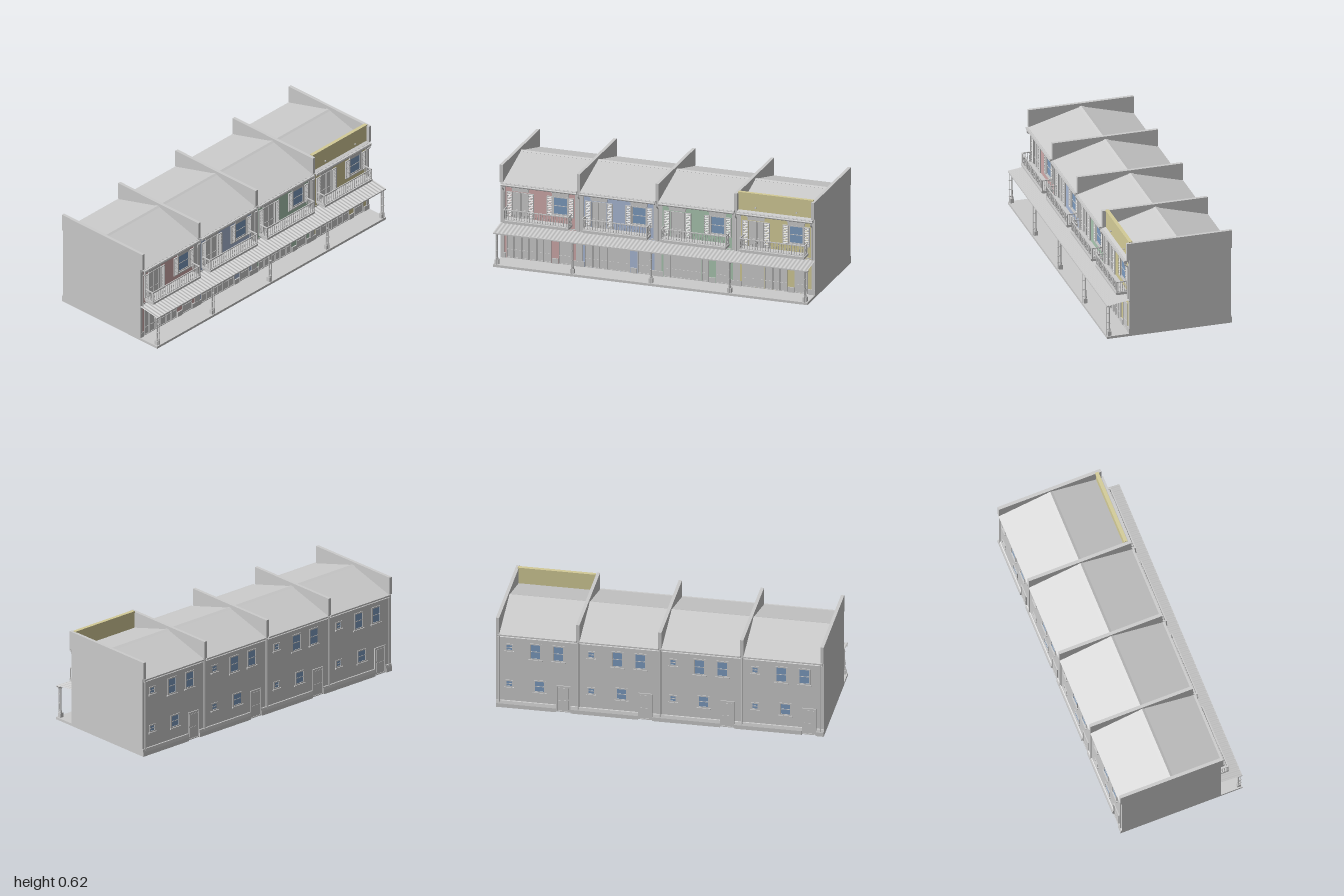
import * as THREE from 'three';
import { mergeGeometries } from 'three/addons/utils/BufferGeometryUtils.js';

const GREY = 0xcccccc, GLASS = 0x7d9cc0;
const mats = {};
const mat = (color) => (mats[color] ??= new THREE.MeshStandardMaterial({ color, side: THREE.DoubleSide }));

// Box given by its limits on each axis
const box = (x0, x1, y0, y1, z0, z1) =>
  new THREE.BoxGeometry(x1 - x0, y1 - y0, z1 - z0).translate((x0 + x1) / 2, (y0 + y1) / 2, (z0 + z1) / 2);
const pole = (r, x, y0, y1, z) =>
  new THREE.CylinderGeometry(r, r, y1 - y0, 10).translate(x, (y0 + y1) / 2, z);
const lathe = (pts, segs, x, y, z) =>
  new THREE.LatheGeometry(pts.map(([r, h]) => new THREE.Vector2(r, h)), segs).translate(x, y, z);
const pipe = (pts, r) => new THREE.TubeGeometry(
  new THREE.CatmullRomCurve3(pts.map((p) => new THREE.Vector3(...p))), 14, r, 8);
// Solid of constant (z, y) section running from x0 to x1
const prism = (pts, x0, x1) => new THREE.ExtrudeGeometry(
  new THREE.Shape(pts.map((p) => new THREE.Vector2(...p))), { depth: x1 - x0, bevelEnabled: false })
  .rotateY(-Math.PI / 2).translate(x1, 0, 0);

function add(parent, name, geos, color = GREY) {
  const list = [].concat(geos).map((g) => (g.index ? g.toNonIndexed() : g));
  const mesh = new THREE.Mesh(mergeGeometries(list), mat(color));
  mesh.name = name;
  parent.add(mesh);
  return mesh;
}

// Four-sided frame around an opening, lying between z0 and z1
const frame = (x0, x1, y0, y1, t, z0, z1) => [
  box(x0, x0 + t, y0, y1, z0, z1), box(x1 - t, x1, y0, y1, z0, z1),
  box(x0 + t, x1 - t, y1 - t, y1, z0, z1), box(x0 + t, x1 - t, y0, y0 + t, z0, z1)];

// Sash window: glass, frame, middle bar and sill; s is the facing (+1 front, -1 back)
function sash(parent, name, cx, cy, w, h, z, s) {
  const zs = (a, b) => [Math.min(z + s * a, z + s * b), Math.max(z + s * a, z + s * b)];
  const x0 = cx - w / 2, x1 = cx + w / 2, y0 = cy - h / 2, y1 = cy + h / 2;
  add(parent, name + 'Glass', box(x0, x1, y0, y1, ...zs(-0.002, 0.001)), GLASS);
  add(parent, name + 'Frame', [
    ...frame(x0 - 0.004, x1 + 0.004, y0 - 0.004, y1 + 0.004, 0.008, ...zs(-0.002, 0.004)),
    box(x0, x1, cy - 0.002, cy + 0.002, ...zs(0, 0.003)),
    box(x0 - 0.01, x1 + 0.01, y0 - 0.012, y0 - 0.004, ...zs(0, 0.009))]);
}

// Louvred shutter
function shutter(x0, x1, y0, y1, z) {
  const geos = frame(x0, x1, y0, y1, 0.005, z, z + 0.008);
  const n = Math.round((y1 - y0) / 0.011);
  for (let i = 1; i < n; i++) {
    geos.push(new THREE.BoxGeometry(x1 - x0 - 0.008, 0.0025, 0.009).rotateX(0.6)
      .translate((x0 + x1) / 2, y0 + ((y1 - y0) * i) / n, z + 0.004));
  }
  return geos;
}

// Panelled door leaf
const leaf = (x0, x1, y0, y1, z) => [
  box(x0, x1, y0, y1, z - 0.002, z + 0.001),
  ...frame(x0, x1, y0, y1, 0.005, z, z + 0.005),
  box(x0, x1, y0 + 0.05, y0 + 0.055, z, z + 0.004)];

const BALUSTER = [[0.0015, 0], [0.003, 0.006], [0.0015, 0.014], [0.0032, 0.03], [0.0015, 0.048], [0.0025, 0.06]];

function balcony(parent, x0, x1) {
  add(parent, 'balconySlab', [
    box(x0, x1, 0.263, 0.276, 0.25, 0.324), box(x0 + 0.005, x1 - 0.005, 0.257, 0.263, 0.25, 0.318)]);
  const z1 = 0.32, rails = [];
  for (const [y, t] of [[0.28, 0.003], [0.341, 0.005]]) {
    rails.push(box(x0, x1, y, y + t, z1 - 0.006, z1),
      box(x0, x0 + 0.006, y, y + t, 0.255, z1), box(x1 - 0.006, x1, y, y + t, 0.255, z1));
  }
  for (const x of [x0 + 0.003, x1 - 0.003]) rails.push(box(x - 0.003, x + 0.003, 0.275, 0.346, z1 - 0.006, z1));
  add(parent, 'balconyRails', rails);
  const bal = [], n = 25;
  for (let i = 1; i < n; i++) bal.push(lathe(BALUSTER, 6, x0 + ((x1 - x0) * i) / n, 0.281, z1 - 0.003));
  for (const x of [x0 + 0.003, x1 - 0.003])
    for (let i = 0; i < 5; i++) bal.push(lathe(BALUSTER, 6, x, 0.281, 0.26 + i * 0.0115));
  add(parent, 'balusters', bal);
}

// One terrace house with its low-x edge at x
function house(x, color, parapet) {
  const g = new THREE.Group();
  const a = x + 0.01, b = x + 0.49;
  g.name = 'house';
  add(g, 'frontWall', box(a, b, 0.015, 0.49, 0.24, 0.25), color);

  // Pale trim around the upper wall and plinth blocks below
  add(g, 'wallTrim', [
    ...frame(a + 0.012, b - 0.012, 0.242, 0.482, 0.006, 0.25, 0.254),
    box(a, a + 0.012, 0.015, 0.49, 0.25, 0.254), box(b - 0.012, b, 0.015, 0.49, 0.25, 0.254),
    box(a, b, 0.476, 0.49, 0.25, 0.26)]);
  add(g, 'frontPlinth', [[x, x + 0.032], [x + 0.326, x + 0.366], [x + 0.455, x + 0.5]]
    .map(([p, q]) => box(p, q, 0.015, 0.048, 0.25, 0.257)));

  // Shop front of folding leaves and the house door
  const shop = [];
  for (let i = 0; i < 6; i++) shop.push(...leaf(x + 0.036 + i * 0.048, x + 0.082 + i * 0.048, 0.017, 0.198, 0.25));
  add(g, 'shopDoors', shop);
  add(g, 'houseDoor', leaf(x + 0.37, x + 0.452, 0.017, 0.195, 0.25));

  // Balcony door and upper window, with lintels and shutters
  add(g, 'balconyDoor', [...leaf(x + 0.08, x + 0.124, 0.276, 0.44, 0.25), ...leaf(x + 0.126, x + 0.17, 0.276, 0.44, 0.25)]);
  sash(g, 'upperWindow', x + 0.38, 0.385, 0.09, 0.11, 0.25, 1);
  add(g, 'lintels', [0.125, 0.38].flatMap((c) => [
    box(x + c - 0.053, x + c + 0.053, 0.446, 0.466, 0.25, 0.258),
    box(x + c - 0.058, x + c + 0.058, 0.466, 0.472, 0.25, 0.263)]));
  add(g, 'shutters', [
    ...shutter(x + 0.038, x + 0.076, 0.28, 0.44, 0.251), ...shutter(x + 0.174, x + 0.212, 0.28, 0.44, 0.251),
    ...shutter(x + 0.294, x + 0.33, 0.318, 0.442, 0.251), ...shutter(x + 0.43, x + 0.466, 0.318, 0.442, 0.251)]);
  balcony(g, x + 0.04, x + 0.455);

  // Gable roof with ridge cap
  add(g, 'roof', prism([[0.272, 0.497], [-0.06, 0.59], [-0.392, 0.497], [-0.392, 0.488], [0.272, 0.488]], a, b));
  add(g, 'ridgeCap', prism([[-0.045, 0.588], [-0.06, 0.594], [-0.08, 0.588], [-0.06, 0.58]], a, b));

  // Eaves gutters at front and back
  add(g, 'gutters', [[0.277, 0.485], [-0.386, 0.487]].map(([z, y]) =>
    new THREE.CylinderGeometry(0.008, 0.008, 0.48, 10, 1, false, -Math.PI / 2, Math.PI)
      .rotateZ(Math.PI / 2).translate(x + 0.25, y, z)));
  add(g, 'gutterRims', [
    box(a, b, 0.492, 0.496, 0.266, 0.285), box(a, b, 0.49, 0.494, -0.391, -0.38)]);

  if (parapet) {
    add(g, 'parapet', [box(a, b - 0.005, 0.49, 0.608, 0.236, 0.25), box(a, b - 0.005, 0.605, 0.616, 0.231, 0.253)], color);
    add(g, 'parapetSpouts', [0.12, 0.38].map((c) =>
      new THREE.CylinderGeometry(0.005, 0.005, 0.014, 10).rotateX(Math.PI / 2).translate(x + c, 0.525, 0.25)));
  }

  // Back wall openings
  const z = -0.38;
  for (const [c, y, w, h] of [[0.42, 0.41, 0.04, 0.04], [0.42, 0.163, 0.04, 0.04],
    [0.26, 0.395, 0.065, 0.1], [0.12, 0.395, 0.065, 0.1], [0.235, 0.16, 0.065, 0.075]])
    sash(g, 'backWindow', x + c, y, w, h, z, -1);
  add(g, 'backDoor', [
    box(x + 0.05, x + 0.13, 0.005, 0.175, z - 0.002, z),
    ...frame(x + 0.047, x + 0.133, 0.003, 0.18, 0.006, z - 0.006, z),
    box(x + 0.06, x + 0.12, 0.02, 0.08, z - 0.004, z), box(x + 0.06, x + 0.12, 0.09, 0.165, z - 0.004, z)]);
  const plinth = [[-0.38, 0], [-0.391, 0], [-0.391, 0.025], [-0.386, 0.045], [-0.38, 0.047]];
  add(g, 'backPlinth', [prism(plinth, x, x + 0.046), prism(plinth, x + 0.134, x + 0.5)]);
  return g;
}

// Corrugated sheet sloping down from the wall
function canopy() {
  const geo = new THREE.PlaneGeometry(2, 1, 640, 1).rotateX(-Math.PI / 2);
  const p = geo.attributes.position;
  for (let i = 0; i < p.count; i++) {
    const t = p.getZ(i) + 0.5;
    p.setZ(i, 0.25 + 0.143 * t);
    p.setY(i, 0.238 - 0.02 * t + 0.0022 * Math.sin((p.getX(i) * Math.PI * 2) / 0.025));
  }
  geo.computeVertexNormals();
  return geo;
}

export function createModel() {
  const model = new THREE.Group();
  model.name = 'terraceRow';
  add(model, 'body', box(-0.985, 0.985, 0, 0.489, -0.38, 0.245));
  add(model, 'pavement', box(-1, 1, 0, 0.015, -0.38, 0.394));

  [0xcfa9a9, 0xa9b9d6, 0xa9c6b0, 0xd3cb97].forEach((c, i) => model.add(house(-1 + i * 0.5, c, i === 3)));

  // Veranda roof with its beams and gutter
  add(model, 'canopy', canopy());
  add(model, 'canopyBeams', [
    box(-1, 1, 0.206, 0.215, 0.37, 0.38), box(-1, 1, 0.225, 0.234, 0.25, 0.257), box(-1, 1, 0.21, 0.217, 0.386, 0.394)]);

  // Party walls, posts and downpipes on each dividing line
  const column = [[0.009, 0], [0.009, 0.008], [0.0055, 0.015], [0.0065, 0.05], [0.005, 0.055],
    [0.005, 0.15], [0.008, 0.157], [0.006, 0.162], [0.01, 0.172]];
  for (const x of [-0.99, -0.5, 0, 0.5, 0.99]) {
    add(model, 'partyWall', [
      box(x - 0.01, x + 0.01, 0, 0.5, -0.382, 0.255), box(x - 0.01, x + 0.01, 0.5, 0.61, -0.391, 0.271)]);
    const px = Math.max(-0.98, Math.min(0.98, x));
    add(model, 'verandaPost', [
      box(px - 0.012, px + 0.012, 0.015, 0.044, 0.364, 0.387), lathe(column, 12, px, 0.044, 0.375),
      box(px - 0.011, px + 0.011, 0.21, 0.217, 0.366, 0.386)]);
    add(model, 'verandaDownpipe', [pole(0.0028, px, 0.015, 0.215, 0.391),
      ...[0.055, 0.1, 0.16].map((y) => box(px - 0.004, px + 0.004, y, y + 0.004, 0.375, 0.394))]);
    add(model, 'frontDownpipe', [pipe([[px, 0.485, 0.277], [px, 0.465, 0.277], [px, 0.45, 0.259], [px, 0.43, 0.258]], 0.004),
      pole(0.004, px, 0.235, 0.435, 0.258)]);
    add(model, 'backDownpipe', pole(0.004, px, 0.03, 0.49, -0.386));
  }
  return model;
}
